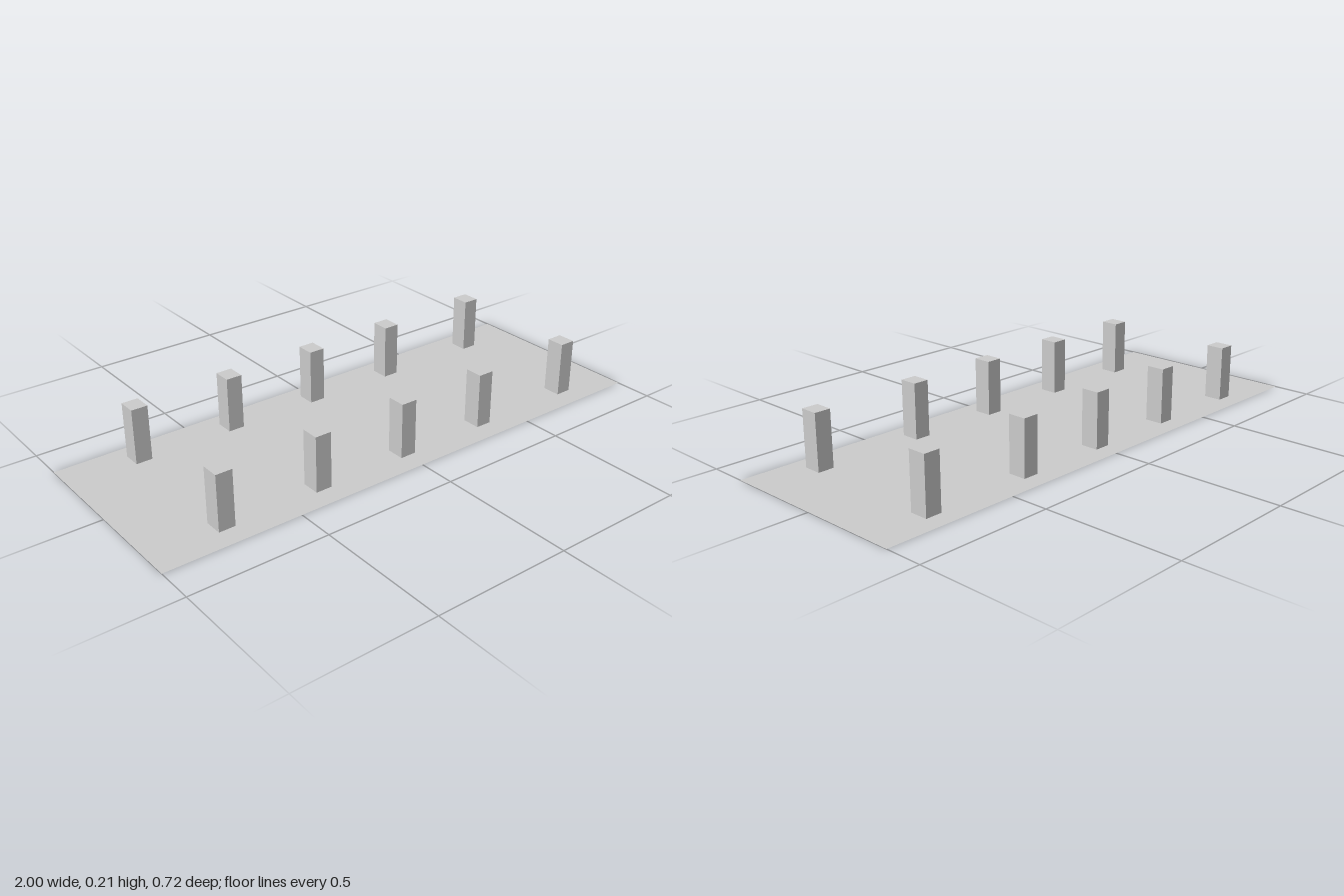
import * as THREE from 'three';

export function createModel() {
  const model = new THREE.Group();
  const grey = new THREE.MeshStandardMaterial({ color: 0xcccccc, flatShading: true });
  const thinGrey = new THREE.MeshStandardMaterial({ color: 0xcccccc, side: THREE.DoubleSide });

  // Paper-thin floor
  const floor = new THREE.Mesh(new THREE.PlaneGeometry(2, 0.722).rotateX(-Math.PI / 2), thinGrey);
  floor.name = 'floor';
  model.add(floor);

  // Two rows of square posts, hovering just clear of the floor
  const bottom = 0.004, top = 0.208;
  const postGeometry = new THREE.BoxGeometry(0.06, top - bottom, 0.067);
  const rows = { frontPost: 0.255, backPost: -0.265 };
  const columns = [-0.73, -0.36, -0.002, 0.352, 0.768];
  for (const [name, z] of Object.entries(rows)) {
    columns.forEach((x, i) => {
      const post = new THREE.Mesh(postGeometry, grey);
      post.name = `${name}${i + 1}`;
      post.position.set(x, (bottom + top) / 2, z);
      model.add(post);
    });
  }
  return model;
}
